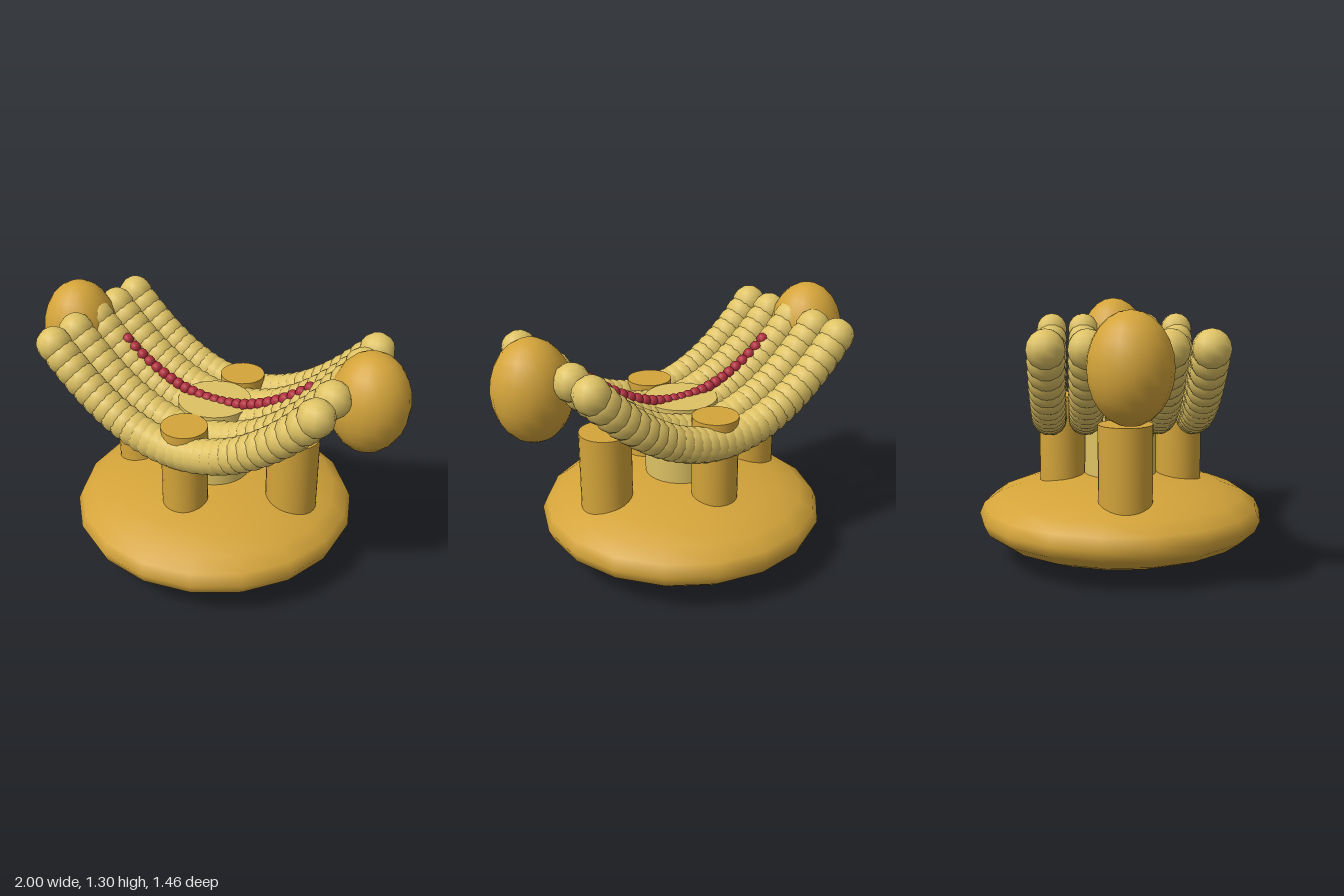
import * as THREE from 'three';

export function createModel() {
  const model = new THREE.Group();
  model.name = 'bowlOnPedestal';
  const material = (name, color) => {
    const m = new THREE.MeshStandardMaterial({ color });
    m.name = name;
    return m;
  };
  const gold = material('gold', 0xd4a43a);
  const paleGold = material('paleGold', 0xdec264);
  const red = material('red', 0xb02d3c);

  const add = (name, geometry, mat, x, y, z, parent = model) => {
    const mesh = new THREE.Mesh(geometry, mat);
    mesh.name = name;
    mesh.position.set(x, y, z);
    parent.add(mesh);
    return mesh;
  };

  // Flattened base
  const base = new THREE.SphereGeometry(1, 18, 12);
  base.rotateY(Math.PI / 2);
  base.scale(0.73, 0.218, 0.73);
  add('base', base, gold, 0, 0.222, 0);

  // Upright posts, sunk into the base
  const post = (name, radius, top, mat, x, z) => {
    const bottom = 0.25;
    const geometry = new THREE.CylinderGeometry(radius, radius, top - bottom, 28);
    add(name, geometry, mat, x, (top + bottom) / 2, z);
  };
  post('centrePost', 0.185, 0.835, paleGold, 0, 0);
  for (const s of [1, -1]) {
    post(s > 0 ? 'leftPost' : 'rightPost', 0.13, 0.755, gold, s * 0.445, 0);
    post(s > 0 ? 'frontPost' : 'backPost', 0.115, 0.838, gold, 0, s * 0.3);
  }

  // Egg-shaped ends
  const end = new THREE.SphereGeometry(1, 18, 12);
  end.scale(0.19, 0.248, 0.19);
  add('leftEnd', end, gold, 0.81, 1.052, 0);
  add('rightEnd', end, gold, -0.81, 1.052, 0);

  // Rows of overlapping beads along a parabola
  const beadRow = (name, count, halfWidth, radius, lowY, z, mat) => {
    const row = new THREE.Group();
    row.name = name;
    const bead = new THREE.SphereGeometry(radius, 10, 8);
    for (let i = 0; i < count; i++) {
      const x = halfWidth * (2 * i / (count - 1) - 1);
      add('bead', bead, mat, x, lowY + 0.816 * x * x, z, row);
    }
    model.add(row);
  };
  for (let i = -2; i <= 2; i++) {
    beadRow('bowlRib', 29, 0.7, 0.09, 0.725, i * 0.18, paleGold);
  }
  beadRow('redStrand', 25, 0.515, 0.031, 0.825, 0, red);

  return model;
}
